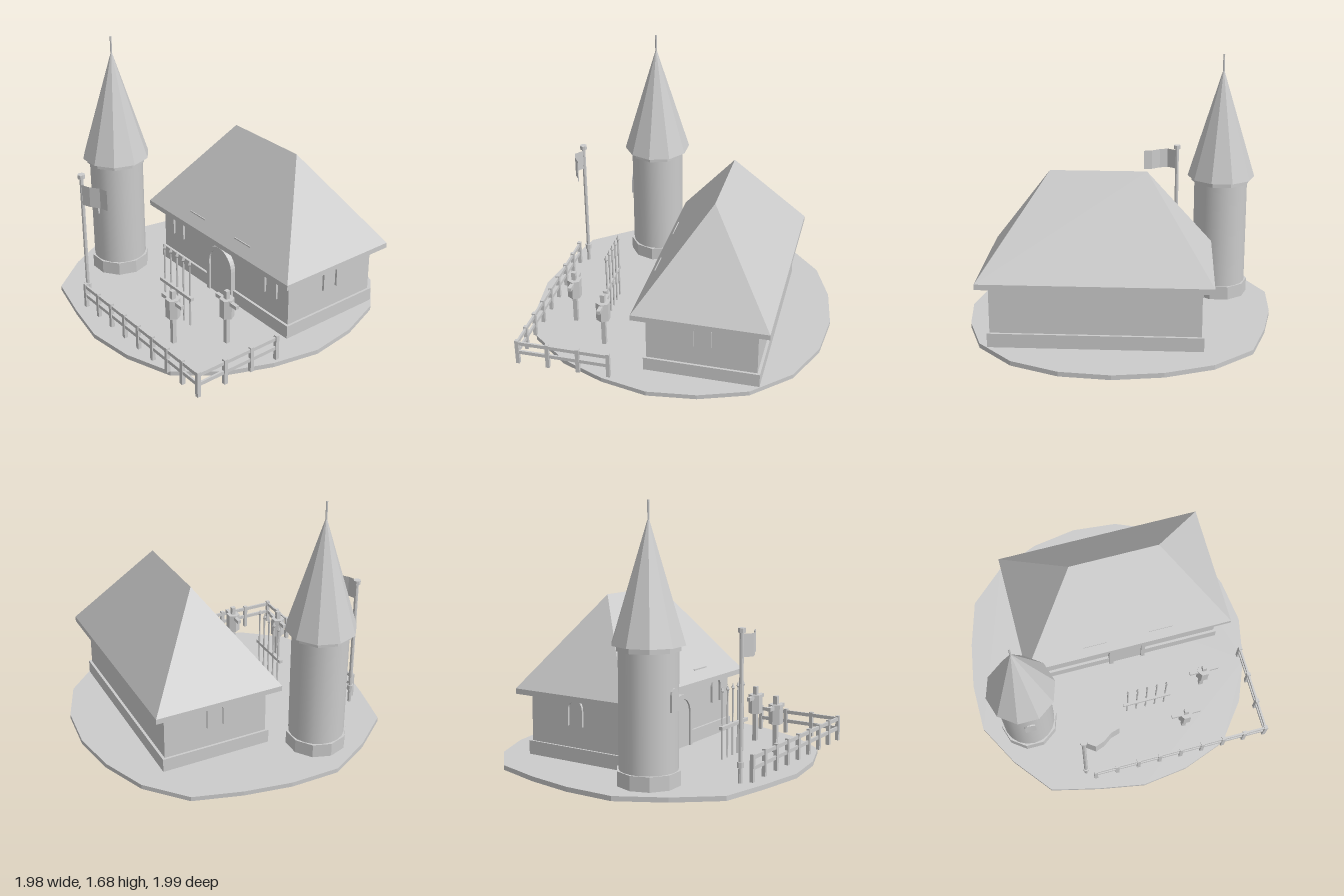
import * as THREE from 'three';

export function createModel() {
  const model = new THREE.Group();
  const stone = new THREE.MeshStandardMaterial({ color: 0xcccccc });
  stone.name = 'pale grey';
  const facet = stone.clone();
  facet.flatShading = true;
  const cloth = facet.clone();
  cloth.side = THREE.DoubleSide;

  const add = (name, geo, x = 0, y = 0, z = 0, mat = stone, parent = model) => {
    const m = new THREE.Mesh(geo, mat);
    m.name = name;
    m.position.set(x, y, z);
    parent.add(m);
    return m;
  };
  const box = (name, w, y0, y1, d, x, z, parent) =>
    add(name, new THREE.BoxGeometry(w, y1 - y0, d), x, (y0 + y1) / 2, z, stone, parent);
  // Upright cylinder or cone with its first corner on +x
  const drum = (name, rTop, rBase, y0, y1, sides, x, z, mat = facet, parent) =>
    add(name, new THREE.CylinderGeometry(rTop, rBase, y1 - y0, sides, 1, false, Math.PI / 2),
      x, (y0 + y1) / 2, z, mat, parent);

  // Round-topped outline, used for frames and panels
  const archShape = (r, y0, spring) => {
    const s = new THREE.Shape();
    s.moveTo(-r, y0);
    s.lineTo(r, y0);
    s.lineTo(r, spring);
    s.absarc(0, spring, r, 0, Math.PI, false);
    s.lineTo(-r, y0);
    return s;
  };
  // Open-bottomed arch frame
  const archFrame = (r, y0, spring, t, depth) => {
    const s = new THREE.Shape();
    s.moveTo(r - t, y0);
    s.lineTo(r, y0);
    s.lineTo(r, spring);
    s.absarc(0, spring, r, 0, Math.PI, false);
    s.lineTo(-r, y0);
    s.lineTo(-r + t, y0);
    s.lineTo(-r + t, spring);
    s.absarc(0, spring, r - t, Math.PI, 0, true);
    s.lineTo(r - t, y0);
    return new THREE.ExtrudeGeometry(s, { depth, bevelEnabled: false, curveSegments: 8 });
  };

  // Ground: slightly uneven twenty-sided disc
  const radii = [0.99, 0.975, 1, 1.04, 1, 0.99, 0.985, 1.065, 1.03, 1.04,
    0.99, 0.985, 1.045, 1.03, 1, 1, 1.02, 1.045, 1.04, 1];
  const rim = radii.map((r, i) => {
    const a = (i * Math.PI) / 10;
    return new THREE.Vector2(r * Math.cos(a), -r * Math.sin(a));
  });
  const ground = new THREE.ExtrudeGeometry(new THREE.Shape(rim), { depth: 0.03, bevelEnabled: false });
  ground.rotateX(-Math.PI / 2);
  add('ground', ground);

  // Hall: plinth, walls, eaves and hipped roof
  const hall = new THREE.Group();
  hall.name = 'hall';
  hall.position.set(0.12, 0, -0.295);
  model.add(hall);
  box('hallPlinth', 1.33, 0.03, 0.12, 0.735, 0, 0, hall);
  box('hallWalls', 1.3, 0.12, 0.435, 0.7, 0, 0, hall);
  box('eaves', 1.44, 0.43, 0.465, 0.855, 0, 0, hall);
  const a = [-0.72, 0.465, 0.4275], b = [0.72, 0.465, 0.4275];
  const c = [0.72, 0.465, -0.4275], d = [-0.72, 0.465, -0.4275];
  const p = [-0.3, 1.062, 0], q = [0.3, 1.062, 0];
  const hip = new THREE.BufferGeometry();
  hip.setAttribute('position', new THREE.Float32BufferAttribute(
    [a, b, q, a, q, p, b, c, q, c, d, p, c, p, q, d, a, p].flat(), 3));
  hip.computeVertexNormals();
  add('roof', hip, 0, 0, 0, facet, hall);

  // Door and its arch
  add('doorFrame', archFrame(0.13, 0.03, 0.26, 0.028, 0.04), 0, 0, 0.345, stone, hall);
  add('door', new THREE.ExtrudeGeometry(archShape(0.104, 0.03, 0.26),
    { depth: 0.02, bevelEnabled: false, curveSegments: 8 }), 0, 0, 0.352, stone, hall);

  // Window frames on the front and both ends
  const windowGeo = archFrame(0.065, 0.26, 0.37, 0.02, 0.03);
  const bannerShape = new THREE.Shape([[-0.05, 0.52], [-0.05, 0.29], [0, 0.235], [0.05, 0.29], [0.05, 0.52]]
    .map(([x, y]) => new THREE.Vector2(x, y)));
  for (const s of [-1, 1]) {
    add('frontWindow', windowGeo, s * 0.485, 0, 0.335, stone, hall);
    add('endWindow', windowGeo, s * 0.635, 0, 0, stone, hall).rotation.y = (s * Math.PI) / 2;
    // Hanging banner and rod
    add('banner', new THREE.ShapeGeometry(bannerShape), s * 0.232, 0, 0.37, cloth, hall);
    box('bannerRod', 0.16, 0.52, 0.537, 0.014, s * 0.232, 0.375, hall);
  }

  // Tower
  const tower = new THREE.Group();
  tower.name = 'tower';
  tower.position.set(-0.662, 0, 0.355);
  model.add(tower);
  drum('towerPlinth', 0.195, 0.195, 0.03, 0.12, 10, 0, 0, facet, tower);
  drum('towerBody', 0.178, 0.178, 0.1, 0.83, 20, 0, 0, stone, tower);
  drum('towerCollar', 0.197, 0.197, 0.825, 0.86, 10, 0, 0, facet, tower);
  drum('towerRoof', 0, 0.225, 0.858, 1.59, 10, 0, 0, facet, tower);
  drum('finial', 0.006, 0.006, 1.56, 1.685, 6, 0, 0, facet, tower);
  add('towerWindow', new THREE.ExtrudeGeometry(archShape(0.037, 0.48, 0.583),
    { depth: 0.02, bevelEnabled: false, curveSegments: 3 }), 0, 0, 0.165, stone, tower);

  // Flagpole with a rippled flag
  drum('flagpole', 0.013, 0.013, 0.03, 0.93, 8, -0.365, 0.803);
  drum('poleCap', 0.024, 0.024, 0.925, 0.952, 8, -0.365, 0.803);
  drum('poleCollar', 0.022, 0.022, 0.125, 0.16, 8, -0.365, 0.803);
  const flag = new THREE.PlaneGeometry(0.225, 0.137, 4, 1);
  const ripple = [0, 0.04, 0.02, -0.02, -0.035];
  const fp = flag.attributes.position;
  for (let i = 0; i < fp.count; i++) fp.setZ(i, ripple[i % 5]);
  add('flag', flag, -0.241, 0.847, 0.803, cloth);

  // Fence along the front and right-hand corner
  const corner = [0.9, 0.852];
  for (let i = 0; i < 9; i++) box('fencePost', 0.024, 0.03, 0.2, 0.024, corner[0] - i * 0.151, corner[1]);
  for (let i = 1; i < 4; i++) box('fencePost', 0.024, 0.03, 0.2, 0.024, corner[0], corner[1] - i * 0.197);
  for (const y of [0.113, 0.178]) {
    box('frontRail', 1.21, y - 0.012, y + 0.012, 0.013, 0.296, corner[1]);
    box('sideRail', 0.013, y - 0.012, y + 0.012, 0.592, corner[0], 0.556);
  }

  // Spear rack
  box('rackBar', 0.335, 0.228, 0.25, 0.025, 0.157, 0.46);
  for (let i = 0; i < 5; i++) {
    const x = 0.022 + i * 0.067;
    drum('spearShaft', 0.006, 0.006, 0.03, 0.48, 6, x, 0.452);
    drum('spearTip', 0, 0.013, 0.475, 0.507, 4, x, 0.452);
    drum('spearTipBase', 0.013, 0.004, 0.46, 0.475, 4, x, 0.452);
  }

  // Training dummies
  for (const [x, z] of [[0.58, 0.387], [0.377, 0.647]]) {
    const dummy = new THREE.Group();
    dummy.name = 'trainingDummy';
    dummy.position.set(x, 0, z);
    model.add(dummy);
    box('dummyPost', 0.028, 0.03, 0.405, 0.028, 0, 0, dummy);
    drum('dummyBody', 0.047, 0.047, 0.222, 0.35, 6, 0, 0, facet, dummy);
    box('dummyArms', 0.2, 0.318, 0.343, 0.024, 0, 0, dummy);
  }
  return model;
}
